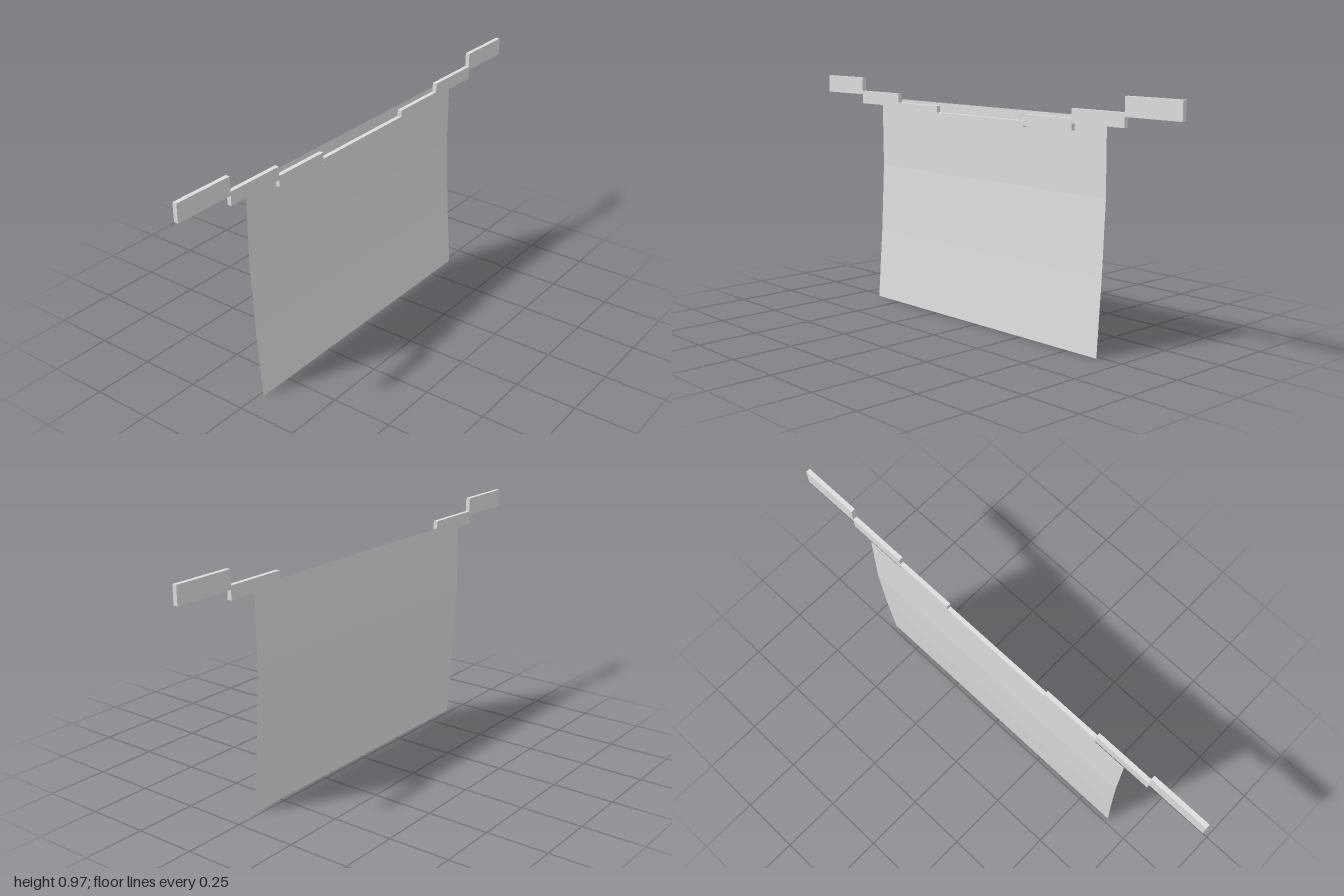
import * as THREE from 'three';

export function createModel() {
  const group = new THREE.Group();
  const grey = new THREE.MeshStandardMaterial({
    color: 0xdddddd, flatShading: true, side: THREE.DoubleSide,
  });
  grey.name = 'light grey';

  // Hanging sheet: three flat bands, upright behind the rail and swinging forward to the hem
  const height = 0.883;
  const sheetGeo = new THREE.PlaneGeometry(1.29, height, 1, 3);
  sheetGeo.translate(0, height / 2, 0);
  const depths = [0.0185, -0.0035, -0.0185, -0.0165]; // from hem to top
  const pos = sheetGeo.attributes.position;
  for (let i = 0; i < pos.count; i++) {
    pos.setZ(i, depths[Math.round((pos.getY(i) / height) * 3)]);
  }
  sheetGeo.computeVertexNormals();
  const sheet = new THREE.Mesh(sheetGeo, grey);
  sheet.name = 'hangingSheet';
  group.add(sheet);

  // Sagging rail: stepped bars, lowest and thinnest in the middle
  const addBar = (name, x0, x1, y0, y1) => {
    const bar = new THREE.Mesh(new THREE.BoxGeometry(x1 - x0, y1 - y0, 0.018), grey);
    bar.position.set((x0 + x1) / 2, (y0 + y1) / 2, 0.003);
    bar.name = name;
    group.add(bar);
  };
  addBar('railCentre', -0.25, 0.25, 0.821, 0.845);
  const steps = [
    ['railInner', 0.25, 0.5, 0.827, 0.871],
    ['railMiddle', 0.5, 0.75, 0.854, 0.908],
    ['railEnd', 0.75, 1, 0.893, 0.966],
  ];
  for (const [name, x0, x1, y0, y1] of steps) {
    addBar(name + 'Left', x0, x1, y0, y1);
    addBar(name + 'Right', -x1, -x0, y0, y1);
  }
  return group;
}
